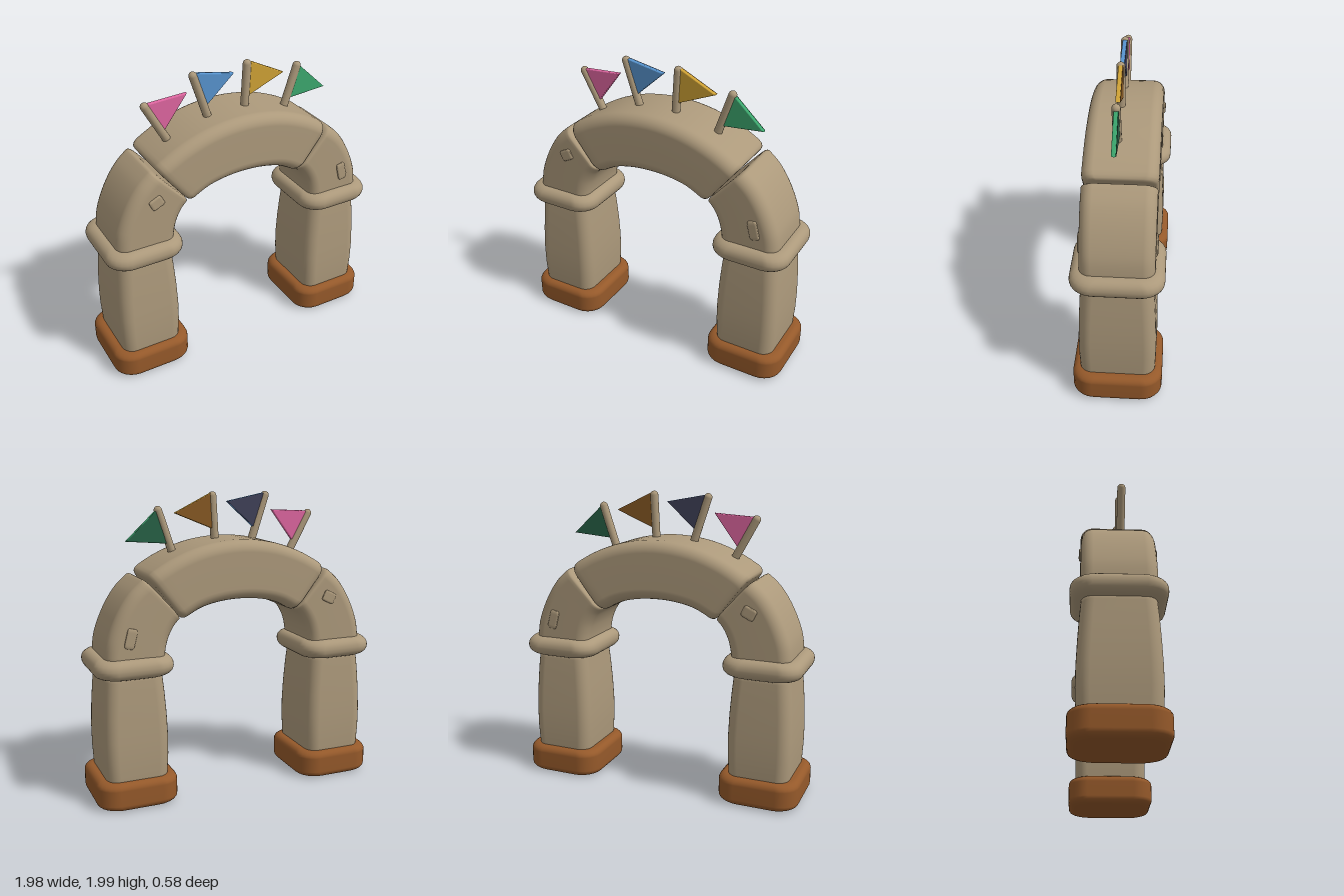
import * as THREE from 'three';

const mat = (name, color) => {
  const m = new THREE.MeshStandardMaterial({ color });
  m.name = name;
  return m;
};
const V2 = (x, y) => new THREE.Vector2(x, y);

// Skin over rounded-rectangle rings; each ring spans p to q in the xy plane and +-d in z
function loft(rings, seg = 6) {
  const pos = [], idx = [], n = 4 * (seg + 1);
  for (const { p, q, d, r } of rings) {
    const c = p.clone().add(q).multiplyScalar(0.5);
    const u = q.clone().sub(p), a = u.length() / 2;
    u.normalize();
    const rad = Math.min(r, a, d);
    for (let k = 0; k < 4; k++) {
      for (let i = 0; i <= seg; i++) {
        const t = (k + i / seg) * Math.PI / 2;
        const su = (k === 0 || k === 3) ? 1 : -1, sz = k < 2 ? 1 : -1;
        const x = su * (a - rad) + rad * Math.cos(t);
        pos.push(c.x + u.x * x, c.y + u.y * x, sz * (d - rad) + rad * Math.sin(t));
      }
    }
  }
  for (let i = 0; i < rings.length - 1; i++) {
    for (let j = 0; j < n; j++) {
      const a = i * n + j, b = i * n + (j + 1) % n;
      idx.push(a, a + n, b, b, a + n, b + n);
    }
  }
  // end caps
  const last = (rings.length - 1) * n;
  for (let j = 1; j < n - 1; j++) {
    idx.push(0, j, j + 1, last, last + j + 1, last + j);
  }
  const g = new THREE.BufferGeometry();
  g.setAttribute('position', new THREE.Float32BufferAttribute(pos, 3));
  g.setIndex(idx);
  g.computeVertexNormals();
  return g;
}

// Upright block from rows of [y, half width, half depth]
const block = (rows, r) => loft(rows.map(([y, a, d]) => ({ p: V2(-a, y), q: V2(a, y), d, r })));

// Pillow-edged slab: insets follow a quarter round at top and bottom
function slab(y0, y1, a, d, r, round) {
  const rows = [[y0, a - round - 0.08, d - round - 0.08]];
  for (let i = 0; i <= 6; i++) {
    const t = i / 6 * Math.PI / 2, k = round * (1 - Math.sin(t));
    rows.push([y0 + round * (1 - Math.cos(t)), a - k, d - k]);
  }
  const top = rows.map(([y, w, h]) => [y0 + y1 - y, w, h]).reverse();
  return block(rows.concat(top), r);
}

// Curved arch stone between an inner and an outer curve, with softened ends
function archStone(outer, inner, depth) {
  const co = new THREE.SplineCurve(outer), ci = new THREE.SplineCurve(inner);
  const ends = [0, 0.004, 0.015, 0.035, 0.06];
  const ts = [...ends];
  for (let i = 1; i < 20; i++) ts.push(0.06 + 0.88 * i / 20);
  ts.push(...ends.map(t => 1 - t).reverse());
  return loft(ts.map(t => {
    const s = Math.min(1, Math.min(t, 1 - t) / 0.06);
    const k = 0.035 * (1 - Math.sqrt(1 - (1 - s) ** 2));
    const p = ci.getPoint(t), q = co.getPoint(t);
    const u = q.clone().sub(p).normalize().multiplyScalar(k);
    return { p: p.add(u), q: q.sub(u), d: depth - k, r: 0.075 };
  }));
}

export function createModel() {
  const model = new THREE.Group();
  const stone = mat('sandstone', 0xac997b);
  const brown = mat('brown base', 0x95592a);
  const pink = mat('pink', 0xdd659f), blue = mat('blue', 0x5692cc);
  const gold = mat('gold', 0xcda034), green = mat('green', 0x3ca66d);
  const blueBack = mat('slate flag back', 0x3f4058);
  const goldBack = mat('brown flag back', 0x855823);
  const greenBack = mat('dark green flag back', 0x276045);

  const add = (name, geometry, material, parent = model) => {
    const m = new THREE.Mesh(geometry, material);
    m.name = name;
    parent.add(m);
    return m;
  };

  // pillars with bases and collars
  const baseGeo = slab(0, 0.19, 0.27, 0.29, 0.13, 0.045);
  const shaftGeo = block([
    [0.15, 0.202, 0.238], [0.2, 0.206, 0.243], [0.32, 0.212, 0.247], [0.45, 0.213, 0.246],
    [0.6, 0.208, 0.24], [0.75, 0.198, 0.232], [0.84, 0.19, 0.225], [0.9, 0.186, 0.22],
  ], 0.08);
  const collarGeo = slab(0.86, 0.99, 0.26, 0.29, 0.13, 0.06);
  for (const [side, s] of [['left', 1], ['right', -1]]) {
    const pillar = new THREE.Group();
    pillar.name = side + 'Pillar';
    pillar.position.x = s * 0.718;
    add('base', baseGeo, brown, pillar);
    add('shaft', shaftGeo, stone, pillar);
    add('collar', collarGeo, stone, pillar);
    model.add(pillar);
  }

  // arch shoulders, mirrored
  const shoulderOut = [V2(0.91, 0.96), V2(0.89, 1.1), V2(0.825, 1.26), V2(0.74, 1.39), V2(0.64, 1.48)];
  const shoulderIn = [V2(0.515, 0.96), V2(0.505, 1.03), V2(0.485, 1.1), V2(0.45, 1.165), V2(0.405, 1.215)];
  const flip = pts => pts.map(p => V2(-p.x, p.y)).reverse();
  add('leftShoulder', archStone(shoulderOut, shoulderIn, 0.23), stone);
  add('rightShoulder', archStone(flip(shoulderOut), flip(shoulderIn), 0.23), stone);

  // crown of the arch
  const crownOut = [V2(0.625, 1.495), V2(0.45, 1.595), V2(0.24, 1.668)];
  const crownIn = [V2(0.395, 1.2), V2(0.27, 1.268), V2(0.14, 1.3)];
  add('crown', archStone(
    [...crownOut, V2(0, 1.695), ...flip(crownOut)],
    [...crownIn, V2(0, 1.31), ...flip(crownIn)], 0.234), stone);

  // small raised chips on both faces of the shoulders
  const chip = slab(-0.5, 0.5, 0.5, 0.5, 0.2, 0.2);
  for (const z of [0.225, -0.225]) {
    const a = add('roundChip', chip, stone);
    a.position.set(-0.64, 1.285, z);
    a.scale.set(0.09, 0.075, 0.035);
    a.rotation.z = 0.45;
    const b = add('longChip', chip, stone);
    b.position.set(0.75, 1.12, z);
    b.scale.set(0.065, 0.13, 0.035);
    b.rotation.z = 0.25;
  }

  // pennants: pole foot, pole tip, then the three flag corners
  const zFlag = 0.027;
  const flags = [
    ['pink', pink, pink, [-0.455, 1.57], [-0.605, 1.845], [[-0.585, 1.842], [-0.33, 1.858], [-0.48, 1.66]]],
    ['blue', blue, blueBack, [-0.17, 1.65], [-0.277, 1.975], [[-0.255, 1.97], [-0.005, 1.923], [-0.18, 1.765]]],
    ['gold', gold, goldBack, [0.088, 1.65], [0.106, 1.98], [[0.12, 1.975], [0.358, 1.86], [0.113, 1.76]]],
    ['green', green, greenBack, [0.38, 1.59], [0.482, 1.895], [[0.49, 1.875], [0.685, 1.695], [0.432, 1.675]]],
  ];
  for (const [name, front, back, foot, tip, corners] of flags) {
    const flag = new THREE.Group();
    flag.name = name + 'Pennant';
    flag.position.z = zFlag;
    const a = V2(...foot), b = V2(...tip), dir = b.clone().sub(a), len = dir.length();
    const pole = add('pole', new THREE.CapsuleGeometry(0.027, len - 0.03, 5, 14), stone, flag);
    pole.position.set((a.x + b.x) / 2, (a.y + b.y) / 2, 0);
    pole.rotation.z = -Math.atan2(dir.x, dir.y);

    const shape = new THREE.Shape(corners.map(c => V2(...c)));
    const cloth = new THREE.ExtrudeGeometry(shape, {
      depth: 0.012, bevelEnabled: true, bevelSize: 0.009, bevelThickness: 0.008, bevelSegments: 3,
    });
    add('cloth', cloth, front, flag).position.z = -0.006;
    if (back !== front) {
      const lining = new THREE.ExtrudeGeometry(shape, {
        depth: 0.002, bevelEnabled: true, bevelSize: 0.007, bevelThickness: 0.002, bevelSegments: 1,
      });
      add('lining', lining, back, flag).position.z = -0.0155;
    }
    model.add(flag);
  }
  return model;
}
